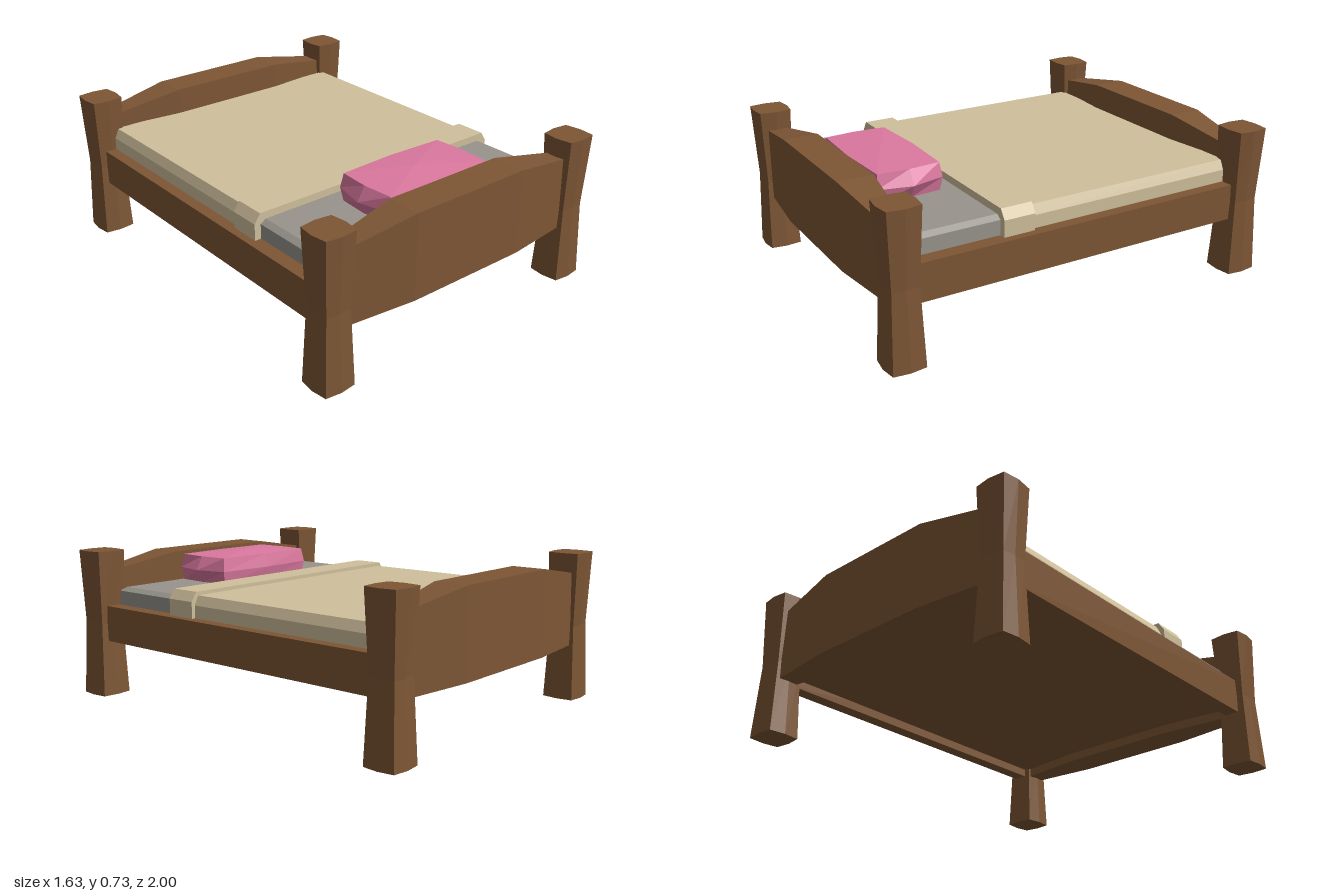
import * as THREE from 'three';

const mat = (name, color) => Object.assign(new THREE.MeshStandardMaterial({ color }), { name });

// Skin a list of rings of [x, y, z] points, counter-clockwise about the loft direction, and cap both ends.
function loft(rings, bulge = [0, 0, 0]) {
  const pos = [];
  const n = rings[0].length;
  const centre = (ring, s) => [0, 1, 2].map(k => ring.reduce((t, p) => t + p[k], 0) / n + s * bulge[k]);
  const tri = (...pts) => pts.forEach(p => pos.push(...p));
  for (let i = 0; i < rings.length - 1; i++) {
    for (let j = 0; j < n; j++) {
      const k = (j + 1) % n;
      const [a, b, c, d] = [rings[i][j], rings[i][k], rings[i + 1][k], rings[i + 1][j]];
      tri(a, b, c);
      tri(a, c, d);
    }
  }
  const first = rings[0], last = rings[rings.length - 1];
  for (let j = 0; j < n; j++) {
    const k = (j + 1) % n;
    tri(centre(last, 1), last[j], last[k]);
    tri(centre(first, -1), first[k], first[j]);
  }
  const geo = new THREE.BufferGeometry();
  geo.setAttribute('position', new THREE.Float32BufferAttribute(pos, 3));
  geo.computeVertexNormals();
  return geo;
}

// Level rectangle with bulging sides: corners at (cx, cz), side middles at mx and mz.
const bulgedRing = (y, cx, cz, mx, mz) => [
  [mx, y, 0], [cx, y, -cz], [0, y, -mz], [-cx, y, -cz],
  [-mx, y, 0], [-cx, y, cz], [0, y, mz], [cx, y, cz],
];

// Box between two heights whose upper edges are chamfered.
function chamferedBox(hx, z0, z1, y0, y1, dx, dy, dz = 0) {
  const rect = (y, ix, iz) => [
    [hx - ix, y, z1 - iz], [hx - ix, y, z0 + iz], [-hx + ix, y, z0 + iz], [-hx + ix, y, z1 - iz],
  ];
  return loft([rect(y0, 0, 0), rect(y1 - dy, 0, 0), rect(y1, dx, dz)]);
}

export function createModel() {
  const wood = mat('brown wood', 0x7d5635);
  const sheet = mat('grey sheet', 0x98948c);
  const cloth = mat('beige blanket', 0xd0c09c);
  const pink = mat('pink pillow', 0xdb789f);

  const bed = new THREE.Group();
  bed.name = 'bed';
  const add = (name, geometry, material, x = 0, y = 0, z = 0) => {
    const mesh = new THREE.Mesh(geometry, material);
    mesh.name = name;
    mesh.position.set(x, y, z);
    bed.add(mesh);
  };

  // Waisted corner posts
  const postGeo = loft([
    bulgedRing(0, 0.078, 0.078, 0.088, 0.088),
    bulgedRing(0.37, 0.064, 0.064, 0.07, 0.07),
    bulgedRing(0.73, 0.078, 0.078, 0.088, 0.088),
  ]);
  for (const sx of [1, -1]) {
    for (const sz of [1, -1]) {
      add(`${sz > 0 ? 'head' : 'foot'}${sx > 0 ? 'Left' : 'Right'}Post`, postGeo, wood, sx * 0.727, 0, sz * 0.912);
    }
  }

  // End boards, thicker and taller in the middle
  const boardGeo = loft([[-0.69, 0.63, 0.045], [-0.32, 0.692, 0.085], [0.32, 0.692, 0.085], [0.69, 0.63, 0.045]]
    .map(([x, top, t]) => [[x, 0.275, -t], [x, top, -t], [x, top, t], [x, 0.275, t]]));
  add('headboard', boardGeo, wood, 0, 0, 0.906);
  add('footboard', boardGeo, wood, 0, 0, -0.912);

  // Side rails and the base panel between them
  const railGeo = new THREE.BoxGeometry(0.07, 0.178, 1.76);
  add('leftRail', railGeo, wood, 0.725, 0.367, 0);
  add('rightRail', railGeo, wood, -0.725, 0.367, 0);
  add('basePanel', new THREE.BoxGeometry(1.4, 0.08, 1.74), wood, 0, 0.36, 0);

  // Bedding
  add('mattress', chamferedBox(0.69, -0.82, 0.825, 0.39, 0.545, 0.028, 0.018, 0.022), sheet);
  add('blanket', chamferedBox(0.703, -0.85, 0.3, 0.44, 0.562, 0.022, 0.045), cloth);
  add('blanketFold', chamferedBox(0.722, 0.255, 0.41, 0.45, 0.58, 0.03, 0.045), cloth);

  // Puffed pillow
  const pillowGeo = loft([
    bulgedRing(-0.068, 0.29, 0.152, 0.302, 0.165),
    bulgedRing(0, 0.302, 0.162, 0.342, 0.181),
    bulgedRing(0.068, 0.29, 0.152, 0.302, 0.165),
  ], [0, 0.012, 0]);
  add('pillow', pillowGeo, pink, 0, 0.61, 0.641);

  return bed;
}
